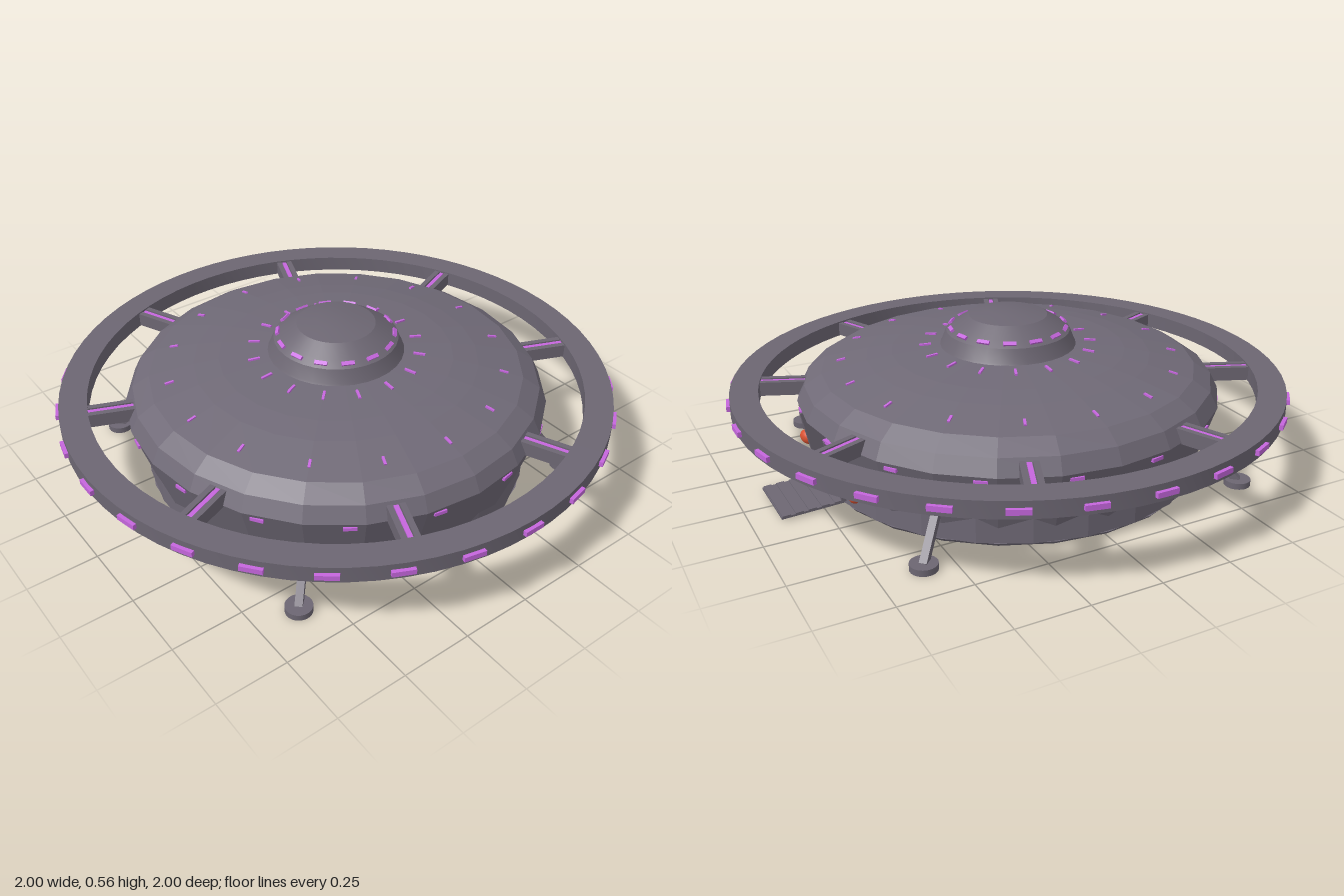
import * as THREE from 'three';
import { toCreasedNormals } from 'three/addons/utils/BufferGeometryUtils.js';

export function createModel() {
  const ship = new THREE.Group();
  ship.name = 'flyingSaucer';

  const mat = (name, color, extra = {}) => {
    const m = new THREE.MeshStandardMaterial({ color, ...extra });
    m.name = name;
    return m;
  };
  const hullGrey = mat('hullGrey', 0x6f6976, { flatShading: true, side: THREE.DoubleSide });
  const metalGrey = mat('metalGrey', 0x6c6672);
  const violet = mat('violetLight', 0xc566dd);
  const orange = mat('orangeLamp', 0xd8502f);

  const add = (name, geo, material, parent = ship) => {
    const m = new THREE.Mesh(geo, material);
    m.name = name;
    parent.add(m);
    return m;
  };
  const lathe = (pts, seg, start = 0, len = Math.PI * 2) =>
    new THREE.LatheGeometry(pts.map(([x, y]) => new THREE.Vector2(x, y)), seg, start, len);

  // Repeats a part around the vertical axis; offset is a fraction of one step
  const around = (name, n, offset, r, y, geo, material, tilt = 0) => {
    const set = new THREE.Group();
    set.name = name + 's';
    ship.add(set);
    for (let i = 0; i < n; i++) {
      const pivot = new THREE.Group();
      pivot.rotation.y = ((i + offset) / n) * Math.PI * 2;
      const m = add(name, geo, material, pivot);
      m.position.set(0, y, r);
      m.rotation.x = tilt;
      set.add(pivot);
    }
  };

  // Hull: flared wall with a doorway gap at the back, skirt, base and upper shell
  const step = Math.PI / 12;
  add('flaredWall', lathe([[0.675, 0.012], [0.76, 0.28]], 22, Math.PI + step, step * 22), hullGrey);
  add('skirt', lathe([[0.7, 0.02], [0.7, 0.12]], 23, Math.PI + 0.172, Math.PI * 2 - 0.344), hullGrey);
  add('basePlate', new THREE.CylinderGeometry(0.7, 0.69, 0.012, 24), hullGrey).position.y = 0.014;
  add('upperShell', lathe([
    [0.76, 0.28], [0.732, 0.335], [0.67, 0.375], [0.51, 0.412], [0.42, 0.427], [0.22, 0.445],
  ], 24), hullGrey);

  // Central dome
  add('dome', toCreasedNormals(lathe([
    [0.247, 0.438], [0.24, 0.45], [0.222, 0.495], [0.193, 0.515], [0.14, 0.549], [0.07, 0.562], [0, 0.565],
  ], 32), 0.25), metalGrey);

  // Outer ring and its spokes
  add('outerRing', toCreasedNormals(lathe([
    [0.988, 0.272], [0.988, 0.33], [0.89, 0.33], [0.89, 0.272], [0.988, 0.272],
  ], 72), 0.5), metalGrey);
  around('spokeBeam', 8, 0.5, 0.81, 0.298, new THREE.BoxGeometry(0.03, 0.036, 0.2), metalGrey);
  around('spokeStripe', 8, 0.5, 0.81, 0.318, new THREE.BoxGeometry(0.016, 0.008, 0.18), violet);
  for (const s of [-1, 1]) {
    const rail = new THREE.BoxGeometry(0.02, 0.05, 0.2).translate(s * 0.021, 0, 0);
    around('spokeRail', 8, 0.5, 0.81, 0.3, rail, metalGrey);
  }

  // Lights
  around('ringLight', 28, 0, 0.99, 0.3, new THREE.BoxGeometry(0.075, 0.018, 0.02), violet);
  around('wallLight', 16, 0.5, 0.747, 0.262, new THREE.BoxGeometry(0.045, 0.012, 0.02), violet);
  around('shellLight', 16, 0, 0.6, 0.392, new THREE.BoxGeometry(0.009, 0.008, 0.032), violet, 0.23);
  around('innerLight', 16, 0, 0.298, 0.44, new THREE.BoxGeometry(0.009, 0.008, 0.042), violet, 0.09);
  around('domeLight', 14, 0.5, 0.207, 0.508, new THREE.BoxGeometry(0.045, 0.01, 0.014), violet, 0.6);

  // Landing legs: slanted strut with a round foot
  const from = new THREE.Vector3(0, 0.015, 0.849);
  const to = new THREE.Vector3(0, 0.172, 0.7);
  const strut = new THREE.BoxGeometry(0.026, from.distanceTo(to), 0.026);
  const mid = from.clone().add(to).multiplyScalar(0.5);
  around('legStrut', 4, 0.5, mid.z, mid.y, strut, metalGrey, Math.atan2(to.z - from.z, to.y - from.y));
  around('legFoot', 4, 0.5, 0.849, 0.011, new THREE.CylinderGeometry(0.046, 0.046, 0.022, 20), metalGrey);

  // Doorway at the back: recess, jambs, posts and lamps
  const door = new THREE.Group();
  door.name = 'doorway';
  ship.add(door);
  const box = (name, w, h, d, x, y, z, tilt = 0) => {
    const m = add(name, new THREE.BoxGeometry(w, h, d), metalGrey, door);
    m.position.set(x, y, z);
    m.rotation.x = tilt;
    return m;
  };
  box('recessBack', 0.26, 0.25, 0.01, 0, 0.14, -0.54);
  box('recessCeiling', 0.36, 0.012, 0.18, 0, 0.268, -0.63);
  box('recessFloor', 0.25, 0.008, 0.15, 0, 0.024, -0.615);
  for (const s of [-1, 1]) {
    box('recessSide', 0.01, 0.24, 0.14, s * 0.125, 0.14, -0.605);
    box('jamb', 0.072, 0.265, 0.03, s * 0.155, 0.145, -0.68, -0.295);
    box('doorPost', 0.018, 0.24, 0.05, s * 0.128, 0.15, -0.698, -0.21);
    const lamp = add('doorLamp', new THREE.SphereGeometry(0.027, 16, 12), orange, door);
    lamp.scale.set(1.35, 1, 0.9);
    lamp.position.set(s * 0.25, 0.11, -0.69);
    lamp.rotation.y = s * 0.35;
  }

  // Boarding ramp with cross slats
  const ramp = new THREE.Group();
  ramp.name = 'ramp';
  ramp.position.set(0, 0.015, -0.79);
  ramp.rotation.x = -0.045;
  ship.add(ramp);
  add('rampPlate', new THREE.BoxGeometry(0.24, 0.007, 0.225), metalGrey, ramp);
  for (let i = 0; i < 5; i++) {
    add('rampSlat', new THREE.BoxGeometry(0.24, 0.004, 0.028), metalGrey, ramp)
      .position.set(0, 0.005, -0.095 + i * 0.045);
  }

  return ship;
}
